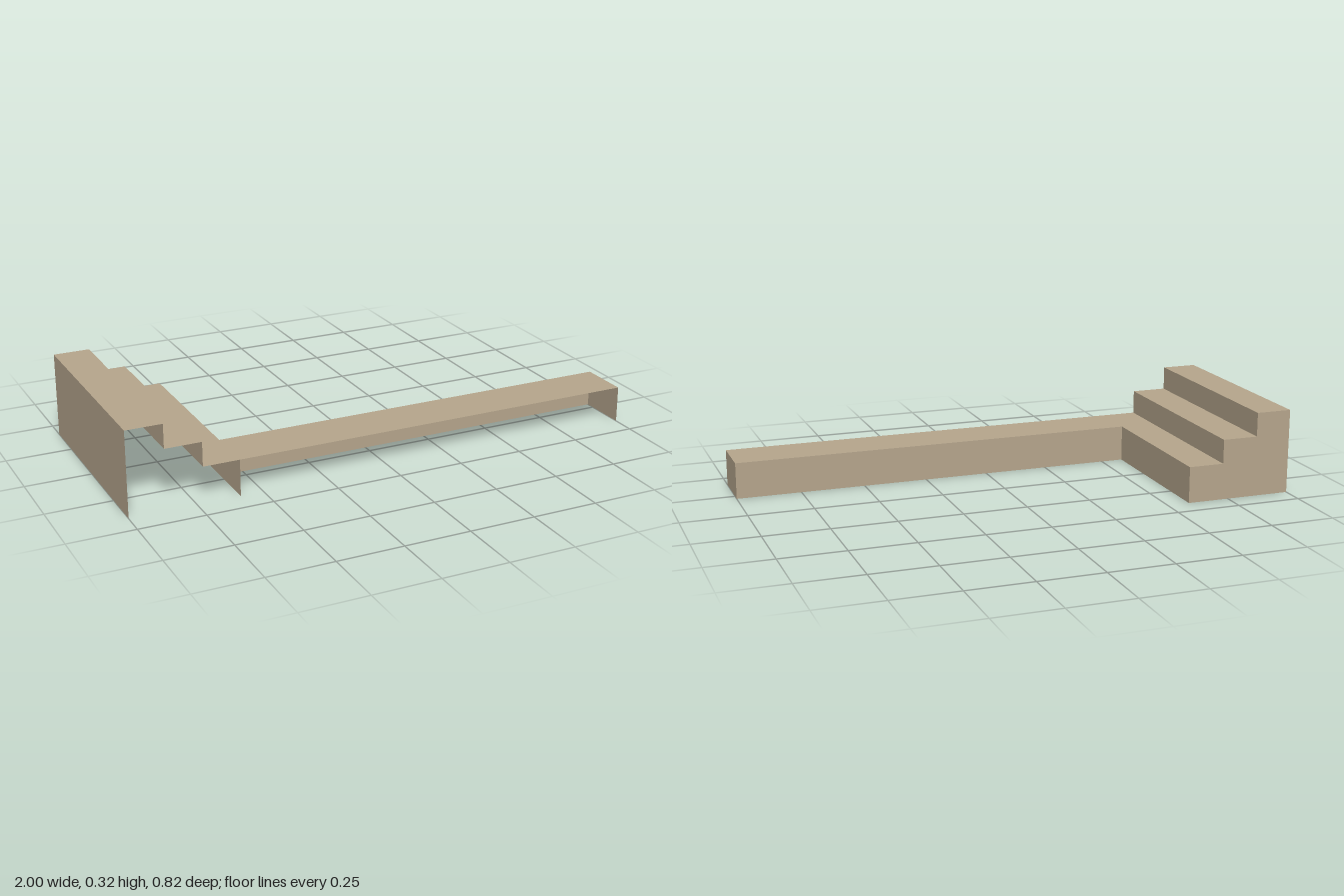
import * as THREE from 'three';

export function createModel() {
  const model = new THREE.Group();
  const stone = new THREE.MeshStandardMaterial({ color: 0xb5a58c, side: THREE.DoubleSide });
  stone.name = 'sandstone';

  const xs = [-1, -0.863, -0.725, -0.587]; // step edges
  const ys = [0.325, 0.233, 0.14];         // tread heights
  const front = 0.41, back = -0.41, armBack = 0.216, end = 1;

  const add = (name, geometry) => {
    const mesh = new THREE.Mesh(geometry, stone);
    mesh.name = name;
    model.add(mesh);
    return mesh;
  };
  // horizontal sheet facing up
  const deck = (name, x0, x1, y, z0, z1) =>
    add(name, new THREE.PlaneGeometry(x1 - x0, z1 - z0).rotateX(-Math.PI / 2)
      .translate((x0 + x1) / 2, y, (z0 + z1) / 2));
  // upright sheet across x, facing +x (side 1) or -x (side -1)
  const upright = (name, x, y0, y1, z0, z1, side = 1) =>
    add(name, new THREE.PlaneGeometry(z1 - z0, y1 - y0).rotateY(side * Math.PI / 2)
      .translate(x, (y0 + y1) / 2, (z0 + z1) / 2));

  // treads and risers; the lowest riser reaches the ground
  ys.forEach((y, i) => {
    deck('tread' + (i + 1), xs[i], xs[i + 1], y, back, front);
    upright('riser' + (i + 1), xs[i + 1], ys[i + 1] ?? 0, y, back, front);
  });
  upright('tallSideWall', xs[0], 0, ys[0], back, front, -1);

  // stepped wall closing the back of the stairs, mirrored so it faces -z
  const profile = new THREE.Shape();
  profile.moveTo(-xs[0], 0);
  ys.forEach((y, i) => {
    profile.lineTo(-xs[i], y);
    profile.lineTo(-xs[i + 1], y);
  });
  profile.lineTo(-xs[3], 0);
  add('steppedBackWall', new THREE.ShapeGeometry(profile).rotateY(Math.PI).translate(0, 0, back));

  // long ledge, open at the front and below
  deck('ledgeTop', xs[3], end, ys[2], armBack, front);
  upright('ledgeEndWall', end, 0, ys[2], armBack, front);
  add('ledgeBackWall', new THREE.PlaneGeometry(end - xs[3], ys[2]).rotateY(Math.PI)
    .translate((end + xs[3]) / 2, ys[2] / 2, armBack));

  return model;
}
